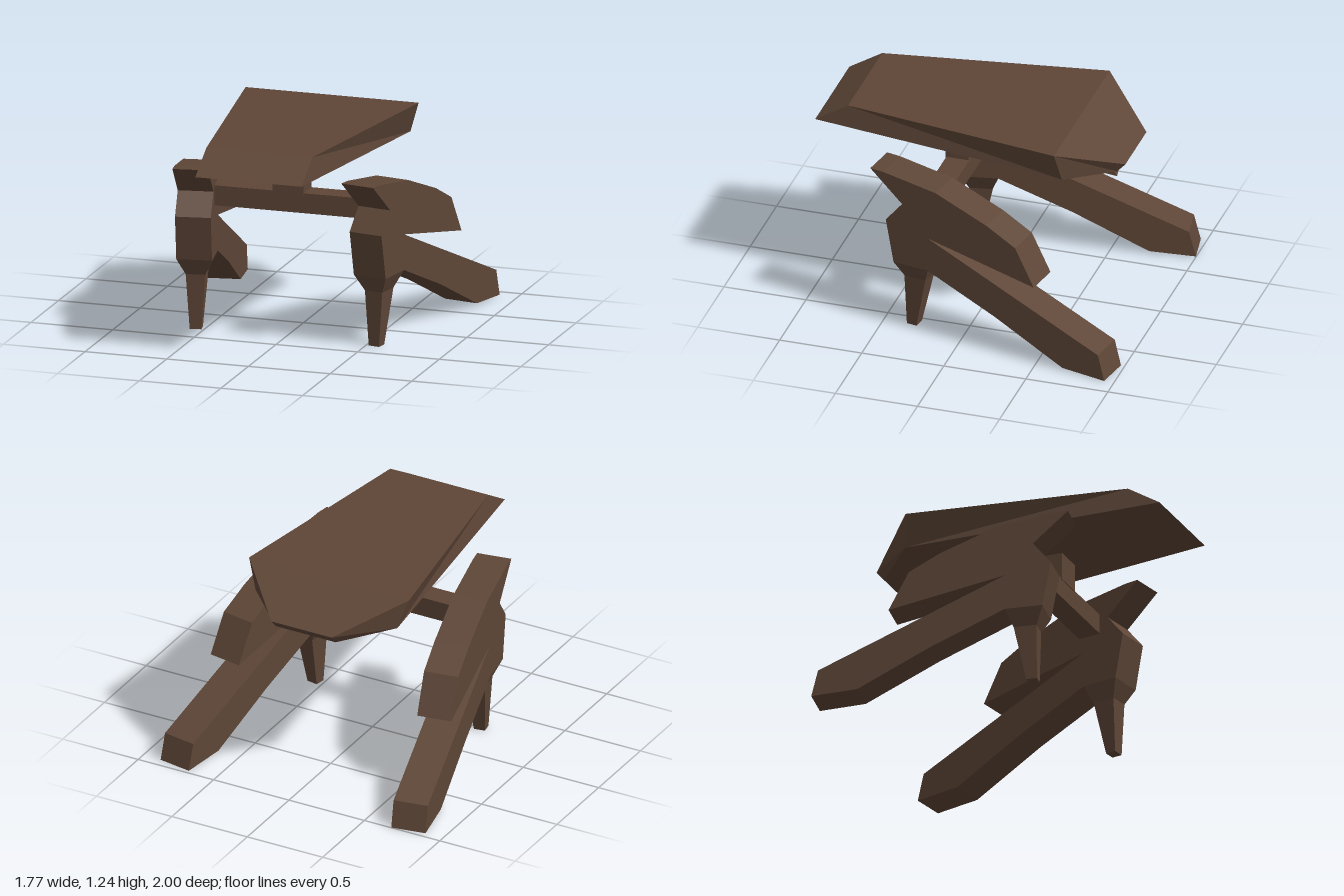
import * as THREE from 'three';

const brown = new THREE.MeshStandardMaterial({ color: 0x5e4637, flatShading: true });
brown.name = 'brown';

// Flat-faced mesh from corner points and convex polygons
function facets(name, points, faces) {
  const pos = [];
  for (const f of faces)
    for (let i = 1; i < f.length - 1; i++) pos.push(...points[f[0]], ...points[f[i]], ...points[f[i + 1]]);
  const geo = new THREE.BufferGeometry();
  geo.setAttribute('position', new THREE.Float32BufferAttribute(pos, 3));
  geo.computeVertexNormals();
  return named(name, geo);
}

function named(name, geo) {
  const mesh = new THREE.Mesh(geo, brown);
  mesh.name = name;
  return mesh;
}

function box(name, w, h, d, x, y, z) {
  const mesh = named(name, new THREE.BoxGeometry(w, h, d));
  mesh.position.set(x, y, z);
  return mesh;
}

// Wedge-shaped hull: each corner is followed by its mirror twin
function makeHull() {
  const half = [
    [0.325, 1.235, 0.8], [0.53, 1.235, -0.52], [0.2, 1.06, -0.85], // top: front, rear, tail
    [0.325, 1.11, 1.0], [0.47, 1.05, -0.55], [0.2, 1.005, -0.8],   // bottom: nose, side, tail
    [0.095, 1.02, 0.28], [0.095, 1.02, 0.14],                      // around the stem
  ];
  const points = half.flatMap(([x, y, z]) => [[x, y, z], [-x, y, z]]);
  const middle = [
    [1, 0, 2, 3], [7, 6, 0, 1], [3, 2, 4, 5], [5, 4, 10, 11],
    [6, 7, 13, 12], [12, 13, 15, 14], [14, 15, 11, 10],
  ];
  const side = [[0, 6, 8, 2], [2, 8, 10, 4], [6, 12, 14, 8], [14, 10, 8]];
  const mirrored = side.map(f => f.map(i => i ^ 1).reverse());
  // keep the same diagonal on the mirrored side panel
  mirrored[0].unshift(mirrored[0].pop());
  return facets('hull', points, [...middle, ...side, ...mirrored]);
}

// Forked leg plate with a tapering front shin
function makeLeg(name) {
  const leg = new THREE.Group();
  leg.name = name;
  const profile = [
    [0.57, 1.015], [0.365, 0.83], [0.47, 0.7], [0.42, 0.43], [0.2, 0.43], // front edge
    [-0.23, 0.24], [-0.67, 0.015], [-0.94, 0], [-0.9, 0.16],              // lower arm
    [0.2, 0.645], [-0.485, 0.5], [-0.365, 0.73], [-0.18, 0.83],           // upper arm
    [0.15, 0.96], [0.49, 1.012],
  ].map(([z, y]) => new THREE.Vector2((z - 0.018) / 0.985, y));
  const geo = new THREE.ExtrudeGeometry(new THREE.Shape(profile), { depth: 0.21, bevelEnabled: false });
  geo.translate(0, 0, -0.105);
  geo.rotateY(-Math.PI / 2);
  leg.add(named('forkedPlate', geo));

  // Shin sections: height, half width, front, back
  const points = [[0.43, 0.105, 0.408, 0.185], [0.33, 0.057, 0.362, 0.225], [0, 0.034, 0.358, 0.295]]
    .flatMap(([y, w, f, b]) => [[w, y, f], [w, y, b], [-w, y, b], [-w, y, f]]);
  const faces = [[8, 11, 10, 9]];
  for (let s = 0; s < 8; s += 4)
    for (let j = 0; j < 4; j++) {
      const k = (j + 1) % 4;
      faces.push([s + j, s + 4 + j, s + 4 + k, s + k]);
    }
  leg.add(facets('shin', points, faces));
  return leg;
}

export function createModel() {
  const model = new THREE.Group();
  model.name = 'walker';
  model.add(makeHull());

  // T-shaped support
  model.add(box('stem', 0.19, 0.17, 0.14, 0, 0.937, 0.21));
  model.add(box('crossbar', 0.97, 0.12, 0.14, 0, 0.8, 0.205));

  // Legs splay outward toward the rear
  for (const s of [1, -1]) {
    const leg = makeLeg(s > 0 ? 'leftLeg' : 'rightLeg');
    leg.position.set(s * 0.612, 0, s > 0 ? 0 : -0.022);
    leg.rotation.y = -s * THREE.MathUtils.degToRad(10);
    model.add(leg);
  }
  return model;
}
